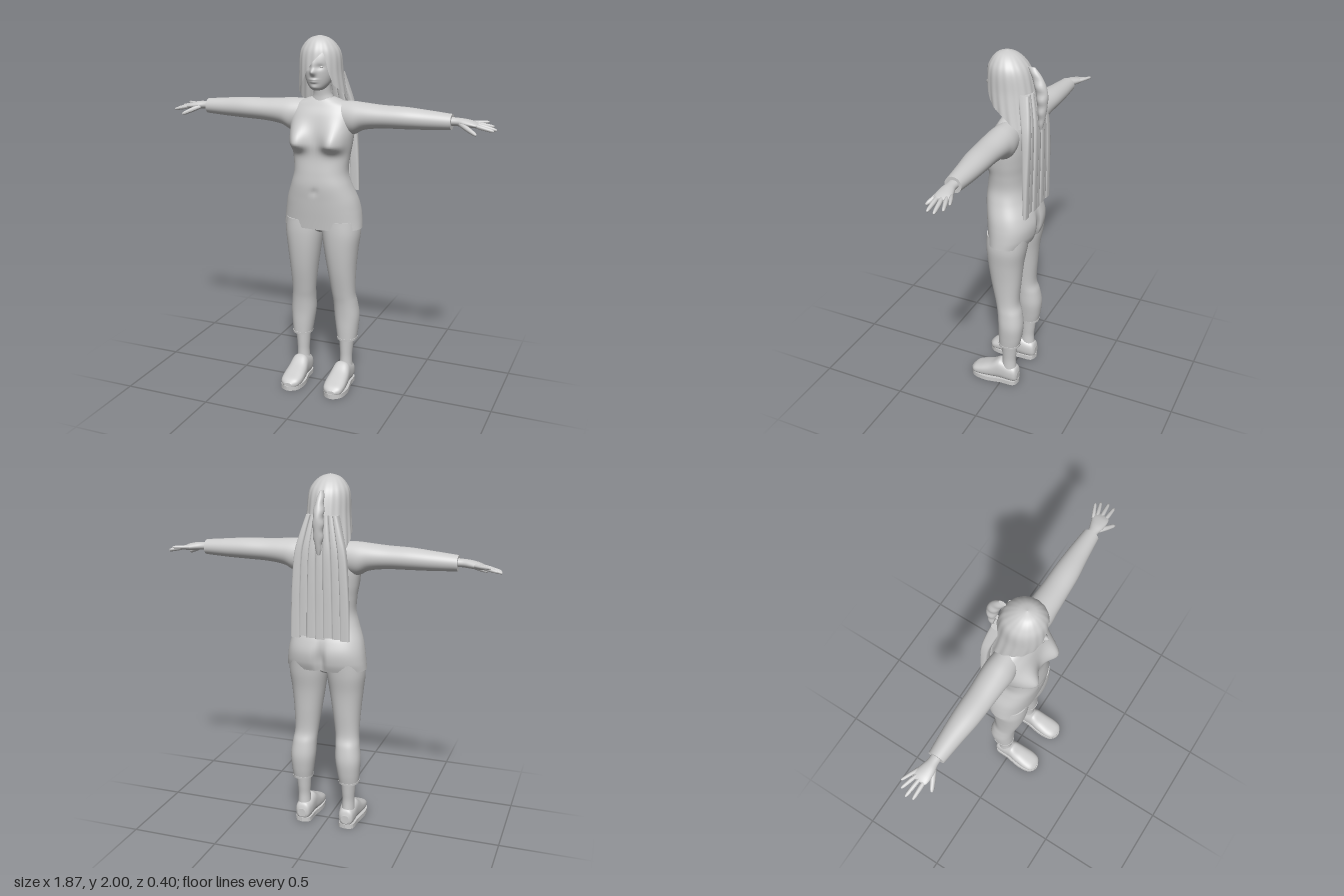
import * as THREE from 'three';

const grey = new THREE.MeshStandardMaterial({ color: 0xcccccc, side: THREE.DoubleSide });
grey.name = 'light grey';

// Catmull-Rom sample of a table of rows at fractional index u
function sample(rows, u) {
  const n = rows.length - 1, i = Math.min(Math.floor(u), n - 1), f = u - i;
  const at = k => rows[Math.max(0, Math.min(n, k))];
  return rows[i].map((_, k) => {
    const [a, b, c, d] = [at(i - 1)[k], at(i)[k], at(i + 1)[k], at(i + 2)[k]];
    return b + 0.5 * f * (c - a + f * (2 * a - 5 * b + 4 * c - d + f * (3 * (b - c) + d - a)));
  });
}

function makeGeometry(pos, index) {
  const g = new THREE.BufferGeometry();
  g.setAttribute('position', new THREE.Float32BufferAttribute(pos, 3));
  g.setIndex(index);
  g.computeVertexNormals();
  return g;
}

// Closed skin through rows [t, a0, a1, b0, b1]; t rises along the axis
function loft(rows, { axis = 'y', power = 2, seg = 40, sub = 6, warp } = {}) {
  const pos = [], index = [], count = (rows.length - 1) * sub;
  const tri = (a, b, c) => (axis === 'y' ? index.push(a, b, c) : index.push(a, c, b));
  const put = (t, a, b) => {
    const v = axis === 'y' ? new THREE.Vector3(a, t, b)
      : axis === 'x' ? new THREE.Vector3(t, a, b) : new THREE.Vector3(a, b, t);
    if (warp) warp(v);
    pos.push(v.x, v.y, v.z);
  };
  const bend = c => Math.sign(c) * Math.abs(c) ** (2 / power);
  const ring = u => {
    const [t, a0, a1, b0, b1] = sample(rows, u);
    for (let j = 0; j < seg; j++) {
      const w = j / seg * Math.PI * 2;
      put(t, (a0 + a1) / 2 + (a1 - a0) / 2 * bend(Math.cos(w)), (b0 + b1) / 2 + (b1 - b0) / 2 * bend(Math.sin(w)));
    }
  };
  for (let i = 0; i <= count; i++) {
    ring(i / sub);
    for (let j = 0; j < seg && i < count; j++) {
      const p = i * seg + j, q = i * seg + (j + 1) % seg;
      tri(p, p + seg, q);
      tri(q, p + seg, q + seg);
    }
  }
  for (const end of [0, 1]) {
    const start = pos.length / 3, [t, a0, a1, b0, b1] = rows[end * (rows.length - 1)];
    ring(end * (rows.length - 1));
    put(t, (a0 + a1) / 2, (b0 + b1) / 2);
    for (let j = 0; j < seg; j++) {
      const p = start + j, q = start + (j + 1) % seg;
      end ? tri(start + seg, q, p) : tri(start + seg, p, q);
    }
  }
  return makeGeometry(pos, index);
}

function mirrored(g) {
  const m = g.clone().scale(-1, 1, 1), ix = m.index;
  for (let i = 0; i < ix.count; i += 3) {
    const b = ix.getX(i + 1);
    ix.setX(i + 1, ix.getX(i + 2));
    ix.setX(i + 2, b);
  }
  m.computeVertexNormals();
  return m;
}

const gauss = (d, s) => Math.exp(-((d / s) ** 2));

// Tapered finger with a round tip between two points
function finger(from, to, r) {
  const a = new THREE.Vector3(...from), d = new THREE.Vector3(...to).sub(a), L = d.length();
  const pts = [[0, 0], [r, 0], [r * 1.02, L * 0.45], [r * 0.8, L * 0.85], [r * 0.5, L * 0.97], [0, L]];
  const g = new THREE.LatheGeometry(pts.map(p => new THREE.Vector2(...p)), 12);
  g.applyQuaternion(new THREE.Quaternion().setFromUnitVectors(new THREE.Vector3(0, 1, 0), d.normalize()));
  return g.translate(a.x, a.y, a.z);
}

// Hair cap whose lower edge rises around the face and sweeps across one eye
function hairCap() {
  const rows = [[2, 0, 0.03, 0.03], [1.985, 0.05, -0.02, 0.08], [1.95, 0.088, -0.065, 0.113], [1.9, 0.11, -0.097, 0.131],
    [1.8, 0.117, -0.12, 0.136], [1.7, 0.128, -0.135, 0.12], [1.62, 0.136, -0.15, 0.1]];
  const hem = [[-3.15, 6], [-2, 5.8], [-1.5, 5.1], [-1, 4.8], [-0.6, 4.4], [-0.3, 3.8], [0, 3.35], [0.5, 2.7],
    [0.72, 3.8], [0.9, 4.5], [1.5, 5.1], [2, 5.8], [3.15, 6]];
  const pos = [], index = [], seg = 120, steps = 36;
  for (let i = 0; i <= steps; i++) for (let j = 0; j < seg; j++) {
    const phi = (j / seg * 2 - 1) * Math.PI;
    const k = hem.findIndex(h => h[0] > phi), [p0, h0] = hem[k - 1], [p1, h1] = hem[k];
    const u = i / steps * (h0 + (h1 - h0) * (phi - p0) / (p1 - p0));
    const [y, w, zb, zf] = sample(rows, u), lock = 1 + 0.003 * u * Math.sin(phi * 18);
    pos.push(w * Math.sin(phi) * lock, y, (zb + zf) / 2 + (zf - zb) / 2 * Math.cos(phi) * lock);
    if (i < steps) {
      const p = i * seg + j, q = i * seg + (j + 1) % seg;
      index.push(p, p + seg, q, q, p + seg, q + seg);
    }
  }
  return makeGeometry(pos, index);
}

export function createModel() {
  const model = new THREE.Group();
  model.name = 'woman';
  const add = (name, g) => {
    const m = new THREE.Mesh(g, grey);
    m.name = name;
    model.add(m);
  };
  const pair = (name, g) => { add('left' + name, g); add('right' + name, mirrored(g)); };

  // Torso with bust, seat cleft and navel shaped into the skin
  const body = [[0.955, 0.226, -0.142, 0.1], [1, 0.222, -0.158, 0.105], [1.06, 0.214, -0.163, 0.112], [1.12, 0.2, -0.148, 0.118],
    [1.2, 0.17, -0.115, 0.125], [1.27, 0.152, -0.1, 0.12], [1.35, 0.158, -0.1, 0.11], [1.42, 0.17, -0.106, 0.108],
    [1.5, 0.18, -0.11, 0.1], [1.58, 0.182, -0.105, 0.08], [1.63, 0.16, -0.092, 0.055], [1.658, 0.1, -0.08, 0.04], [1.672, 0.06, -0.06, 0.03]];
  add('torso', loft(body.map(([y, w, b, f]) => [y, -w, w, b, f]), {
    power: 2.3, seg: 72, sub: 8,
    warp: v => {
      if (v.z > 0.02) {
        const lift = gauss(v.y - 1.435, v.y > 1.435 ? 0.09 : 0.042) * gauss(Math.abs(v.x) - 0.105, 0.06);
        v.z += 0.068 * lift * Math.min(1, (v.z - 0.02) / 0.04);
        v.z -= 0.008 * gauss(v.x, 0.015) * gauss(v.y - 1.17, 0.02);
      }
      if (v.z < -0.05) v.z += 0.035 * gauss(v.x, 0.02) * gauss(v.y - 1.02, 0.08);
    },
  }));
  add('crotch', new THREE.SphereGeometry(1, 24, 16).scale(0.06, 0.05, 0.09).translate(0, 0.965, -0.015));

  // Sleeves, legs and ankles
  pair('Arm', loft([[0.08, 1.5, 1.655, -0.085, 0.045], [0.17, 1.478, 1.657, -0.097, 0.062], [0.24, 1.508, 1.652, -0.093, 0.06],
    [0.34, 1.522, 1.645, -0.087, 0.055], [0.46, 1.526, 1.642, -0.086, 0.048], [0.58, 1.53, 1.632, -0.08, 0.032],
    [0.708, 1.537, 1.62, -0.07, 0.018]], { axis: 'x' }));
  pair('Leg', loft([[0.283, 0.083, 0.194, -0.106, 0.016], [0.34, 0.074, 0.2, -0.117, 0.018], [0.42, 0.063, 0.205, -0.124, 0.02],
    [0.5, 0.06, 0.196, -0.112, 0.028], [0.57, 0.054, 0.188, -0.093, 0.042], [0.7, 0.036, 0.193, -0.101, 0.07],
    [0.82, 0.018, 0.204, -0.112, 0.088], [0.92, 0.004, 0.215, -0.13, 0.096], [1, 0.002, 0.21, -0.14, 0.095]], { power: 2.2 }));
  pair('TrouserHem', loft([[0.276, 0.082, 0.196, -0.108, 0.018], [0.288, 0.081, 0.197, -0.109, 0.019]], { power: 2.2, sub: 1 }));
  pair('Ankle', loft([[0.09, 0.095, 0.172, -0.085, 0.005], [0.16, 0.1, 0.169, -0.08, 0], [0.22, 0.097, 0.173, -0.086, 0.002],
    [0.3, 0.092, 0.182, -0.095, 0.006]]));

  // Clog-like shoes with a flat sole
  pair('Shoe', loft([[-0.098, 0.11, 0.155, 0.03, 0.08], [-0.085, 0.092, 0.172, 0.015, 0.112], [-0.05, 0.083, 0.178, 0.012, 0.125],
    [0, 0.08, 0.18, 0.012, 0.145], [0.025, 0.078, 0.182, 0.012, 0.145], [0.07, 0.072, 0.187, 0.012, 0.113], [0.13, 0.069, 0.19, 0.012, 0.086],
    [0.175, 0.08, 0.182, 0.014, 0.066], [0.197, 0.11, 0.155, 0.022, 0.045]], { axis: 'z', power: 2.5 }));
  const outline = new THREE.Shape(new THREE.SplineCurve([[0.13, 0.1], [0.088, 0.08], [0.082, 0], [0.068, -0.09], [0.078, -0.17], [0.13, -0.203],
    [0.182, -0.17], [0.196, -0.09], [0.18, 0], [0.174, 0.08], [0.13, 0.1]].map(p => new THREE.Vector2(...p))).getPoints(48));
  const sole = new THREE.ExtrudeGeometry(outline, { depth: 0.026, bevelEnabled: false }).rotateX(-Math.PI / 2);
  for (const s of [1, -1]) add(s > 0 ? 'leftSole' : 'rightSole', s > 0 ? sole : sole.clone().translate(-0.264, 0, 0));

  // Hands with spread fingers
  pair('Palm', loft([[0.68, 1.558, 1.606, -0.057, 0.002], [0.73, 1.56, 1.603, -0.055, 0], [0.77, 1.557, 1.6, -0.066, 0.008],
    [0.81, 1.556, 1.592, -0.078, 0.01], [0.835, 1.557, 1.582, -0.078, 0.006], [0.845, 1.563, 1.575, -0.07, -0.002]], { axis: 'x', seg: 24 }));
  [['Little', [0.8, 1.577, -0.068], [0.885, 1.578, -0.105], 0.0095], ['Ring', [0.82, 1.575, -0.056], [0.915, 1.558, -0.087], 0.0105],
    ['Middle', [0.825, 1.573, -0.036], [0.936, 1.546, -0.05], 0.011], ['Index', [0.82, 1.571, -0.012], [0.929, 1.546, -0.012], 0.011],
    ['Thumb', [0.755, 1.574, -0.008], [0.85, 1.53, 0.04], 0.013]]
    .forEach(([name, from, to, r]) => pair(name + 'Finger', finger(from, to, r)));

  // Neck and head, with the face pushed out by small bumps [x, y, spreadX, spreadY, depth]
  add('neck', loft([[1.62, -0.075, 0.075, -0.075, 0.045], [1.665, -0.06, 0.06, -0.065, 0.04], [1.7, -0.048, 0.048, -0.055, 0.042],
    [1.77, -0.048, 0.048, -0.05, 0.055]]));
  const bumps = [[0, 1.85, 0.012, 0.03, 0.006], [0, 1.815, 0.014, 0.016, 0.024], [0, 1.776, 0.022, 0.006, 0.008], [0, 1.764, 0.019, 0.006, 0.008],
    [0, 1.735, 0.02, 0.013, 0.006], [0.034, 1.842, 0.02, 0.014, -0.009], [-0.034, 1.842, 0.02, 0.014, -0.009]];
  const head = [[1.718, 0.026, 0.03, 0.092], [1.732, 0.045, 0, 0.108], [1.76, 0.064, -0.03, 0.117], [1.8, 0.076, -0.05, 0.124],
    [1.85, 0.082, -0.07, 0.127], [1.9, 0.085, -0.075, 0.118], [1.95, 0.065, -0.045, 0.09], [1.975, 0.03, 0, 0.05]];
  add('head', loft(head.map(([y, w, b, f]) => [y, -w, w, b, f]), {
    seg: 96, sub: 10,
    warp: v => { if (v.z > 0.04) for (const [x, y, sx, sy, d] of bumps) v.z += d * gauss(v.x - x, sx) * gauss(v.y - y, sy); },
  }));
  pair('Eye', new THREE.SphereGeometry(1, 20, 14).scale(0.014, 0.007, 0.008).translate(0.034, 1.842, 0.103));

  // Long hair: cap, hanging locks down the back and a tied tail
  add('hairCap', hairCap());
  const locks = 7;
  for (let k = 0; k < locks; k++) {
    const c = (k + 0.5) / locks * 2 - 1, z = (k % 2) * 0.006 + 0.008 * c * c, h = 1.12 / locks;
    const row = (y, w, back, front) => [y, (c - h) * w, (c + h) * w, back + z, front + z];
    add('backLock' + (k + 1), loft([row(1.14 + (k % 3) * 0.006, 0.163, -0.158, -0.138), row(1.3, 0.16, -0.16, -0.13), row(1.45, 0.153, -0.162, -0.125),
      row(1.6, 0.14, -0.16, -0.115), row(1.7, 0.115, -0.148, -0.095), row(1.8, 0.085, -0.128, -0.07)], { power: 3.5, seg: 20, sub: 4 }));
  }
  add('hairTail', loft([[1.6, -0.008, 0.008, -0.168, -0.15], [1.66, -0.021, 0.021, -0.182, -0.145], [1.73, -0.028, 0.028, -0.192, -0.14],
    [1.8, -0.028, 0.028, -0.194, -0.13], [1.87, -0.022, 0.022, -0.168, -0.11], [1.925, -0.009, 0.009, -0.125, -0.085]], {
    seg: 32, warp: v => { v.x *= 1 + 0.12 * Math.sin(v.y * 90); },
  }));
  return model;
}
